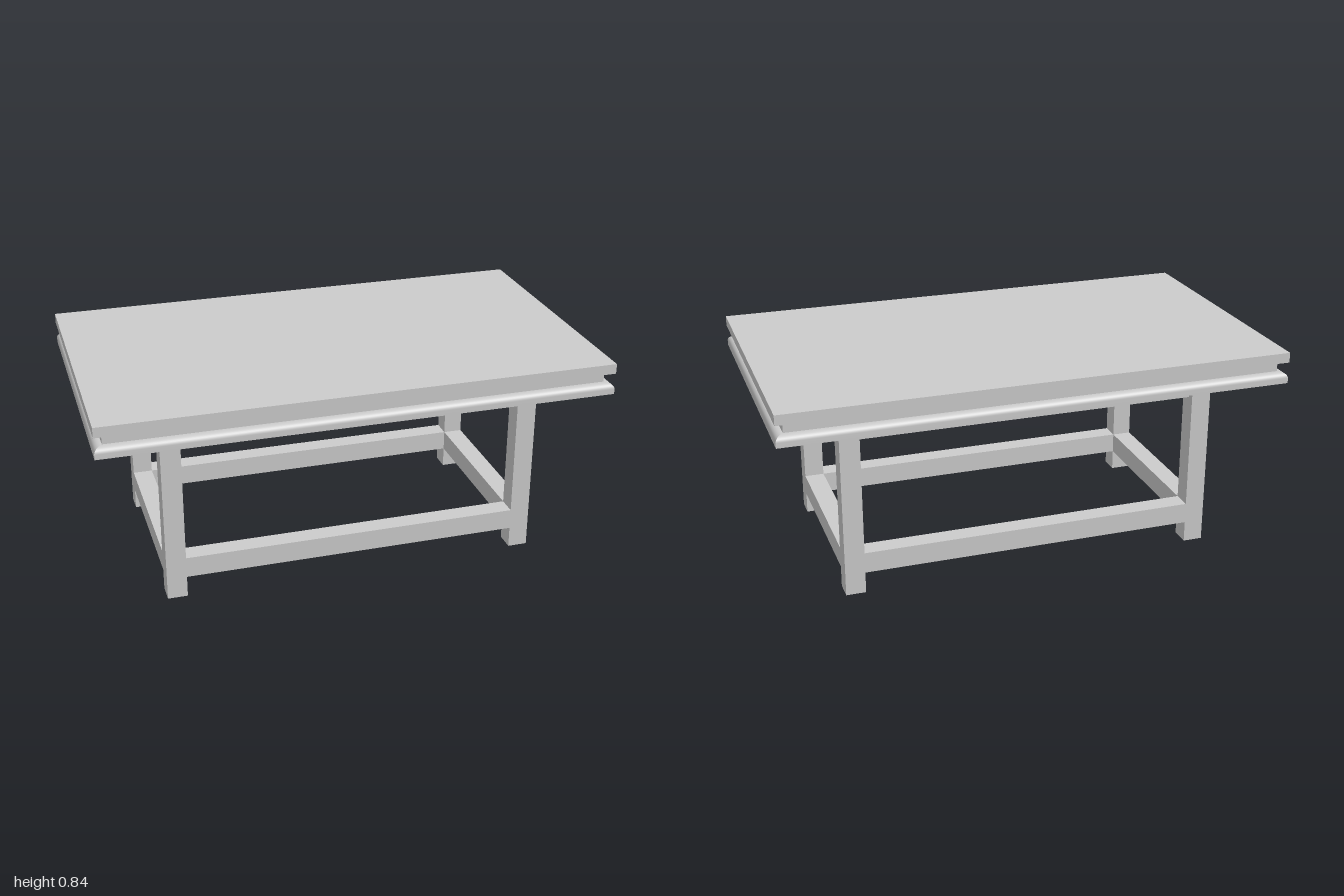
import * as THREE from 'three';

const material = new THREE.MeshStandardMaterial({ color: 0xcccccc });

function addMesh(group, name, geometry) {
  const mesh = new THREE.Mesh(geometry, material);
  mesh.name = name;
  group.add(mesh);
  return mesh;
}

function addBox(group, name, w, h, d, x, y, z) {
  addMesh(group, name, new THREE.BoxGeometry(w, h, d)).position.set(x, y, z);
}

// Rectangular edge moulding: sweeps a profile of [inset, y] points round four mitred sides.
function addMoulding(group, name, halfX, halfZ, profile) {
  const corners = [[-1, 1], [1, 1], [1, -1], [-1, -1]];
  corners.forEach((a, side) => {
    const b = corners[(side + 1) % 4];
    const positions = [];
    const index = [];
    profile.forEach(([inset, y], i) => {
      for (const [sx, sz] of [a, b]) positions.push(sx * (halfX - inset), y, sz * (halfZ - inset));
      if (i > 0) {
        const k = 2 * i;
        index.push(k - 2, k - 1, k + 1, k - 2, k + 1, k);
      }
    });
    const geometry = new THREE.BufferGeometry();
    geometry.setAttribute('position', new THREE.Float32BufferAttribute(positions, 3));
    geometry.setIndex(index);
    geometry.computeVertexNormals();
    addMesh(group, name, geometry);
  });
}

export function createModel() {
  const table = new THREE.Group();
  table.name = 'table';

  // Top: upper slab, recessed band
  const HX = 1, HZ = 0.57;
  addBox(table, 'tableTop', 2 * HX, 0.04, 2 * HZ, 0, 0.816, 0);
  addBox(table, 'recessedBand', 1.935, 0.044, 1.074, 0, 0.775, 0);

  // Lower slab with a rounded upper edge
  const bottom = 0.711, top = 0.753, rx = 0.025, ry = 0.022;
  const profile = [[0, bottom]];
  for (let i = 0; i <= 8; i++) {
    const t = (i / 8) * Math.PI / 2;
    profile.push([rx * (1 - Math.cos(t)), top - ry + ry * Math.sin(t)]);
  }
  const lowerSlab = new THREE.Group();
  lowerSlab.name = 'lowerSlab';
  table.add(lowerSlab);
  addMoulding(lowerSlab, 'roundedEdge', HX, HZ, profile);
  const underside = addMesh(lowerSlab, 'underside', new THREE.PlaneGeometry(2 * HX, 2 * HZ));
  underside.rotation.x = Math.PI / 2;
  underside.position.y = bottom;
  const upperFace = addMesh(lowerSlab, 'upperFace', new THREE.PlaneGeometry(2 * (HX - rx), 2 * (HZ - rx)));
  upperFace.rotation.x = -Math.PI / 2;
  upperFace.position.y = top;

  // Legs
  const leg = 0.078, legX = 0.709, legZ = 0.378;
  for (const sx of [-1, 1]) {
    for (const sz of [-1, 1]) addBox(table, 'leg', leg, bottom, leg, sx * legX, bottom / 2, sz * legZ);
  }

  // Rails between the legs: thin aprons above, full-width stretchers below
  const spanX = 2 * legX - leg, spanZ = 2 * legZ - leg;
  for (const s of [-1, 1]) {
    addBox(table, 'longApron', spanX, 0.085, 0.042, 0, 0.6685, s * (legZ - 0.01));
    addBox(table, 'shortApron', 0.042, 0.085, spanZ, s * (legX - 0.01), 0.6685, 0);
    addBox(table, 'longStretcher', spanX, 0.083, leg, 0, 0.1265, s * legZ);
    addBox(table, 'shortStretcher', leg, 0.083, spanZ, s * legX, 0.1265, 0);
  }
  return table;
}
